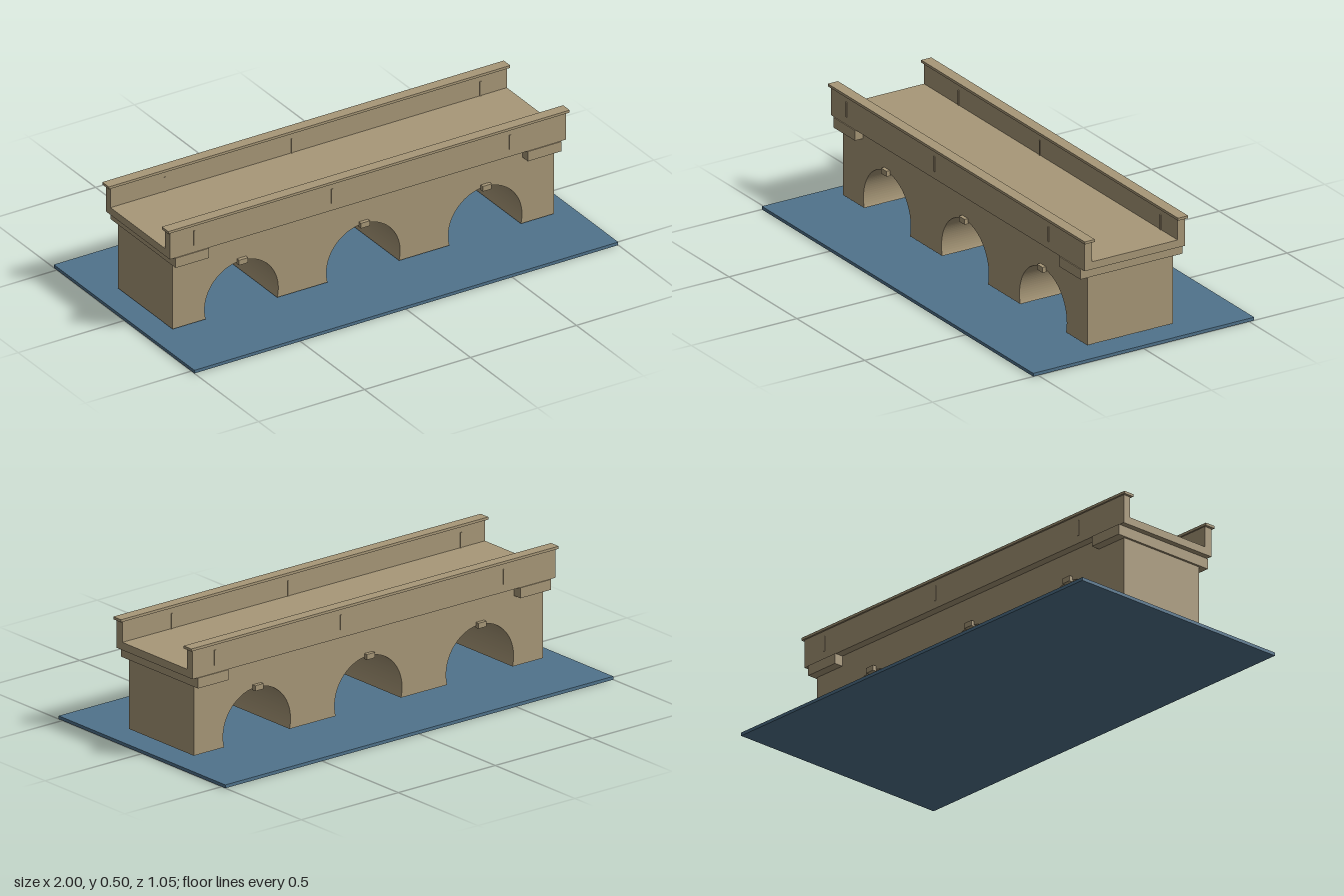
import * as THREE from 'three';

export function createModel() {
  const model = new THREE.Group();
  model.name = 'archBridge';

  const stone = new THREE.MeshStandardMaterial({ color: 0xa89878 });
  stone.name = 'sandy stone';
  const blue = new THREE.MeshStandardMaterial({ color: 0x50738c });
  blue.name = 'water blue';

  // Box given by its extents on each axis
  function box(name, x0, x1, y0, y1, z0, z1, material = stone) {
    const mesh = new THREE.Mesh(new THREE.BoxGeometry(x1 - x0, y1 - y0, z1 - z0), material);
    mesh.position.set((x0 + x1) / 2, (y0 + y1) / 2, (z0 + z1) / 2);
    mesh.name = name;
    model.add(mesh);
  }

  box('water', -1, 1, 0, 0.014, -0.523, 0.523, blue);

  // Pier wall with three arches cut from its lower edge
  const archX = [-0.575, 0, 0.575];
  const radius = 0.174, archY = 0.068, bottom = 0.025, top = 0.367;
  const half = Math.sqrt(radius ** 2 - (archY - bottom) ** 2);
  const dip = Math.asin((archY - bottom) / radius);
  const wall = new THREE.Shape();
  wall.moveTo(-0.9, bottom);
  for (const x of archX) {
    wall.lineTo(x - half, bottom);
    wall.absarc(x, archY, radius, Math.PI + dip, -dip, true);
  }
  wall.lineTo(0.9, bottom);
  wall.lineTo(0.9, top);
  wall.lineTo(-0.9, top);
  wall.closePath();
  const wallGeometry = new THREE.ExtrudeGeometry(wall, { depth: 0.406, bevelEnabled: false, curveSegments: 32 });
  wallGeometry.translate(0, 0, -0.203);
  const wallMesh = new THREE.Mesh(wallGeometry, stone);
  wallMesh.name = 'archedWall';
  model.add(wallMesh);

  // Bearing blocks under both ends of the deck
  box('leftBearingBlock', 0.752, 0.91, 0.323, 0.367, -0.242, 0.242);
  box('rightBearingBlock', -0.91, -0.752, 0.323, 0.367, -0.242, 0.242);

  box('deck', -0.935, 0.935, 0.367, 0.4, -0.238, 0.238);

  // Parapets, copings and keystones on both sides
  for (const s of [1, -1]) {
    const side = s > 0 ? 'front' : 'back';
    const strip = (name, x0, x1, y0, y1, a, b) =>
      box(side + name, x0, x1, y0, y1, Math.min(s * a, s * b), Math.max(s * a, s * b));
    strip('Parapet', -0.935, 0.935, 0.4, 0.489, 0.203, 0.238);
    strip('Coping', -0.947, 0.947, 0.489, 0.5, 0.197, 0.245);
    for (const x of archX) strip('Keystone', x - 0.021, x + 0.021, 0.233, 0.256, 0.2, 0.219);

    // Narrow joint ribs on the parapet faces
    for (const x of [-0.82, -0.17, 0.67]) {
      strip('OuterRib', s * x - 0.004, s * x + 0.004, 0.4, 0.465, 0.236, 0.241);
    }
    for (const x of [-0.81, 0.08, 0.68]) {
      strip('InnerRib', s * x - 0.004, s * x + 0.004, 0.4, 0.465, 0.2, 0.205);
    }
  }

  return model;
}
